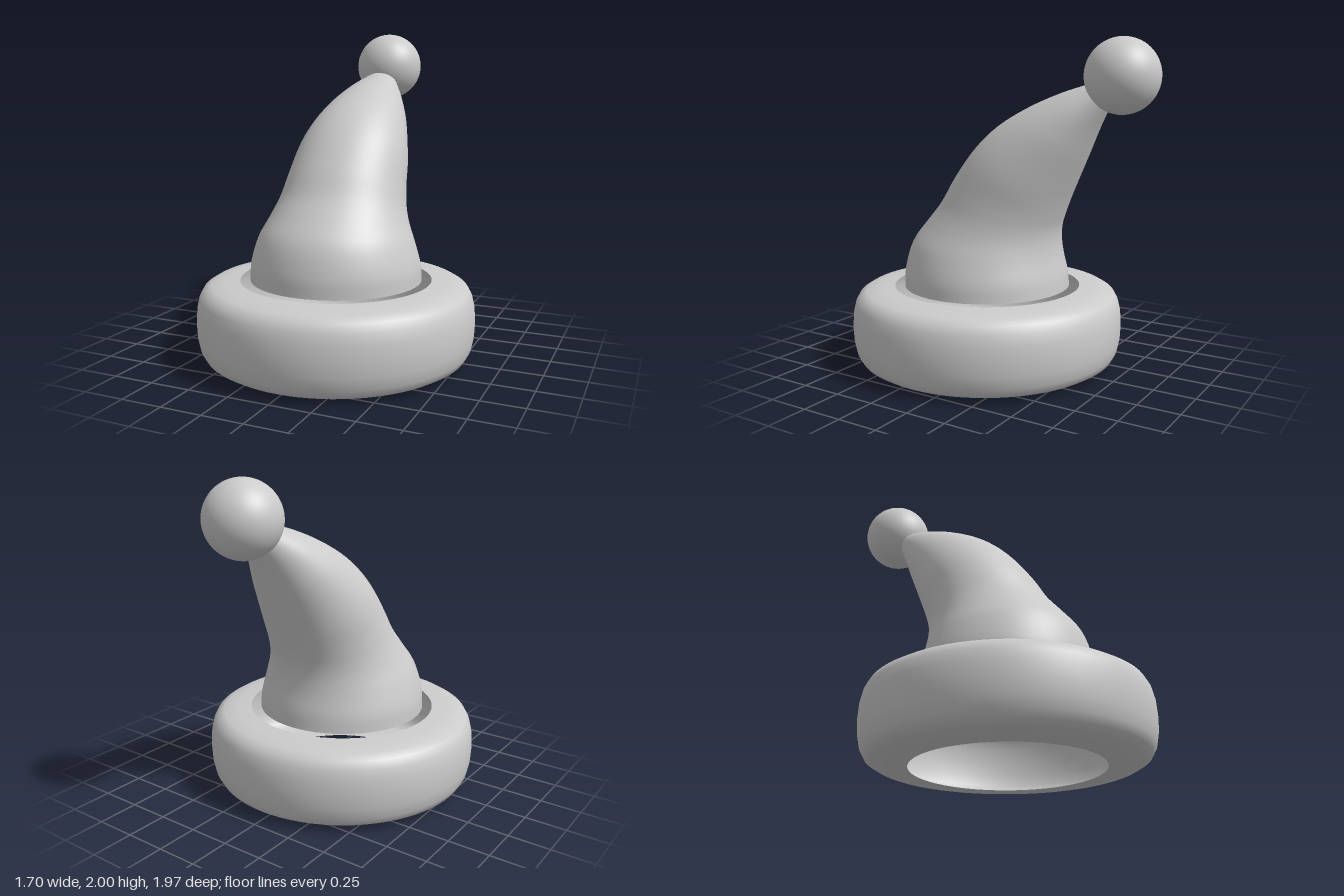
import * as THREE from 'three';

const material = new THREE.MeshStandardMaterial({ color: 0xcccccc, side: THREE.DoubleSide });

function part(name, geometry) {
  const mesh = new THREE.Mesh(geometry, material);
  mesh.name = name;
  return mesh;
}

// Bent cone: each section is a tilted ellipse between a front and a back point.
function createCone() {
  // [front z, front y, back z, back y, half width]
  const sections = [
    [0.655, 0.485, -0.385, 0.485, 0.525],
    [0.65, 0.6, -0.375, 0.58, 0.517],
    [0.6, 0.77, -0.35, 0.7, 0.475],
    [0.5, 0.9, -0.343, 0.8, 0.425],
    [0.4, 1.02, -0.353, 0.88, 0.392],
    [0.3, 1.18, -0.38, 0.96, 0.37],
    [0.15, 1.37, -0.42, 1.06, 0.35],
    [0, 1.5, -0.47, 1.17, 0.315],
    [-0.2, 1.61, -0.54, 1.32, 0.26],
    [-0.4, 1.69, -0.61, 1.47, 0.185],
    [-0.57, 1.74, -0.68, 1.6, 0.105],
  ];
  const front = new THREE.CatmullRomCurve3(sections.map(s => new THREE.Vector3(0, s[1], s[0])));
  const back = new THREE.CatmullRomCurve3(sections.map(s => new THREE.Vector3(0, s[3], s[2])));
  const width = new THREE.CatmullRomCurve3(sections.map((s, i) => new THREE.Vector3(s[4], i * 0.1, 0)));

  const rows = 40, sides = 64;
  const positions = [], indices = [];
  for (let r = 0; r <= rows; r++) {
    const t = r / rows;
    const f = front.getPoint(t), b = back.getPoint(t), w = width.getPoint(t).x;
    for (let s = 0; s < sides; s++) {
      const a = (s / sides) * Math.PI * 2;
      const p = b.clone().lerp(f, (1 + Math.cos(a)) / 2);
      positions.push(w * Math.sin(a), p.y, p.z);
      if (r < rows) {
        const i = r * sides + s, j = r * sides + ((s + 1) % sides);
        indices.push(i, j, j + sides, i, j + sides, i + sides);
      }
    }
  }
  const geometry = new THREE.BufferGeometry();
  geometry.setAttribute('position', new THREE.Float32BufferAttribute(positions, 3));
  geometry.setIndex(indices);
  geometry.computeVertexNormals();
  return part('hatCone', geometry);
}

// Thick brim: a hollow rounded shell, open toward the inside.
function createBrim() {
  const profile = [
    [0.56, 0], [0.68, 0.005], [0.76, 0.018], [0.805, 0.045], [0.83, 0.09],
    [0.845, 0.16], [0.85, 0.245], [0.845, 0.33], [0.83, 0.395], [0.805, 0.44],
    [0.76, 0.467], [0.68, 0.48], [0.585, 0.486],
  ].map(([x, y]) => new THREE.Vector2(x, y));
  const brim = part('brim', new THREE.LatheGeometry(profile, 80));
  brim.position.z = 0.135;
  return brim;
}

export function createModel() {
  const group = new THREE.Group();
  group.name = 'bobbleHat';
  const pompom = part('pompom', new THREE.SphereGeometry(0.217, 48, 32));
  pompom.position.set(0, 1.783, -0.768);
  group.add(createBrim(), createCone(), pompom);
  return group;
}
